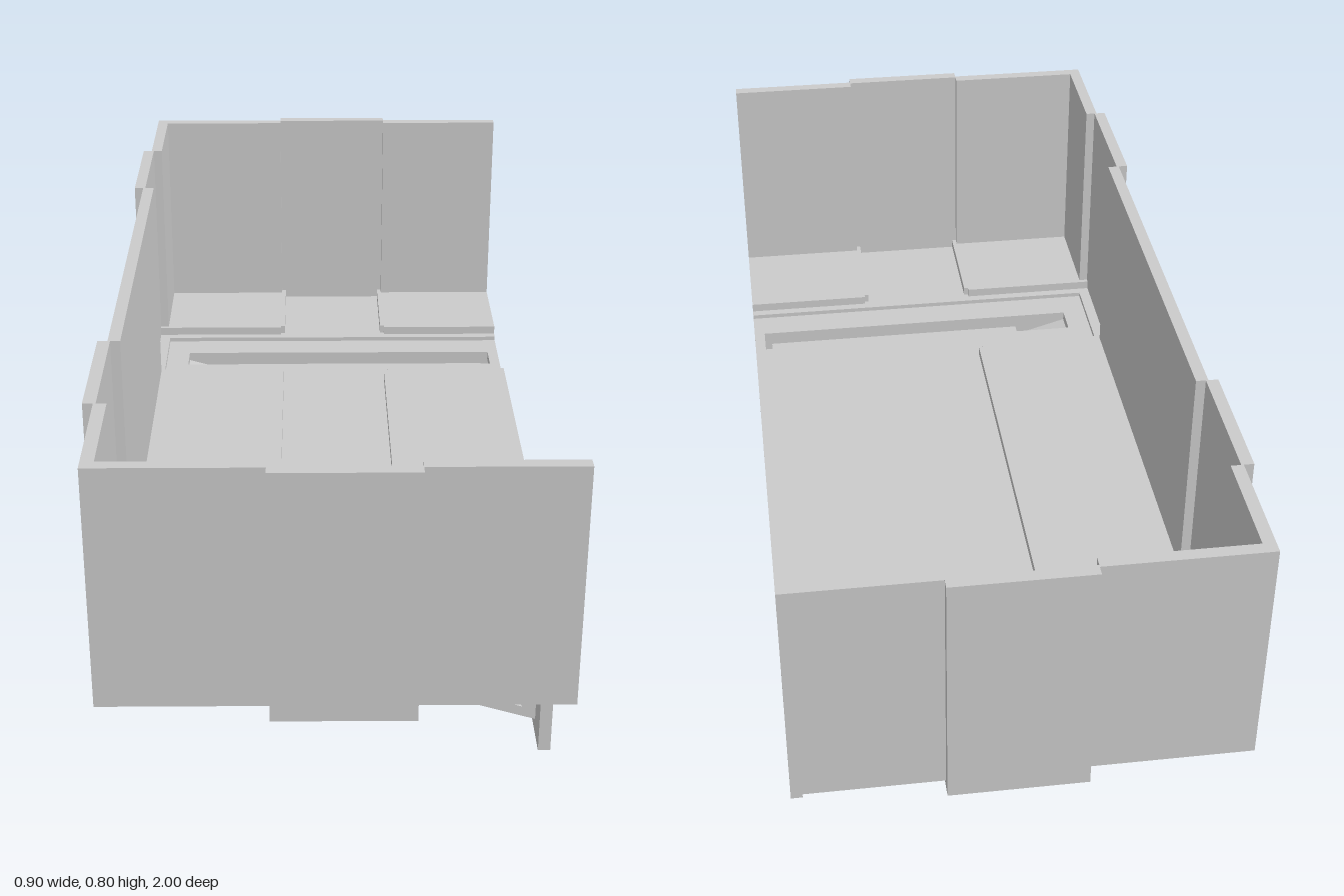
import * as THREE from 'three';

const material = new THREE.MeshStandardMaterial({ color: 0xcccccc, flatShading: true });

// Box given by its lower and upper limits on each axis
function box(parent, name, x0, x1, y0, y1, z0, z1) {
  const mesh = new THREE.Mesh(new THREE.BoxGeometry(x1 - x0, y1 - y0, z1 - z0), material);
  mesh.position.set((x0 + x1) / 2, (y0 + y1) / 2, (z0 + z1) / 2);
  mesh.name = name;
  parent.add(mesh);
}

const BASE = 0.31, RIB = 0.29, TOP = 0.8, SHEET = 0.01, WALL = 0.025, STEP = 0.02;
const X = [-0.43, -0.11, 0.16, 0.45];
const Z = [-0.98, -0.727, -0.448, 0.448, 0.727, 0.98];
const CENTRE = 0.587, HALF = 0.11, SLOT = 0.036;

// Triangular openings between the zigzag struts of a truss
function trussHoles() {
  const xs = [0.415, 0.41, 0.317, 0.235, 0.148, 0.085, 0.016, -0.03, -0.085, -0.12, -0.163, -0.187, -0.225];
  const chord = (x) => 0.25 - (x + 0.225) * 0.304;
  const nodes = xs.map((x, i) => new THREE.Vector2(x, i % 2 ? chord(x) : 0.25));
  const holes = [];
  for (let i = 0; i + 2 < nodes.length; i++) {
    const tri = nodes.slice(i, i + 3);
    const mid = tri[0].clone().add(tri[2]).multiplyScalar(0.5);
    const k = 1 - 0.026 / Math.abs(tri[0].x - tri[2].x);
    holes.push(new THREE.Path(tri.map((p) => p.clone().sub(mid).multiplyScalar(k).add(mid))));
  }
  return holes;
}

function trussLayer(parent, name, outline, z0, z1) {
  const shape = new THREE.Shape(outline.map(([x, y]) => new THREE.Vector2(x, y)));
  shape.holes = trussHoles();
  const geometry = new THREE.ExtrudeGeometry(shape, { depth: z1 - z0, bevelEnabled: false });
  const mesh = new THREE.Mesh(geometry, material);
  mesh.position.z = z0;
  mesh.name = name;
  parent.add(mesh);
}

// Slotted plate and leg with a hollow-topped truss beneath
function makeBracket() {
  const g = new THREE.Group();
  g.name = 'bracket';
  for (const [a, b] of [[-HALF, -SLOT], [SLOT, HALF]]) {
    box(g, 'bracketPlateSide', -0.345, 0.425, 0.27, RIB, a, b);
    box(g, 'legSide', 0.425, 0.45, 0.03, 0.27, a, b);
  }
  box(g, 'bracketPlateTip', -0.4, -0.345, 0.27, RIB, -HALF, HALF);
  box(g, 'legTop', 0.425, 0.45, 0.27, RIB, -HALF, HALF);
  box(g, 'legFoot', 0.425, 0.45, 0, 0.03, -HALF, HALF);

  const side = [[-0.37, 0.27], [0.425, 0.03], [0.425, 0.27]];
  trussLayer(g, 'trussSide', side, -SLOT - 0.008, -SLOT);
  trussLayer(g, 'trussSide', side, SLOT, SLOT + 0.008);
  const core = [[-0.345, 0.27], [-0.345, 0.2624], [0.408, 0.035], [0.408, 0.258], [-0.22, 0.258], [-0.22, 0.234]];
  trussLayer(g, 'trussCore', core, -SLOT, SLOT);
  return g;
}

export function createModel() {
  const model = new THREE.Group();
  model.name = 'tray';

  // Floor panels, with the odd bands sunk as ribs
  for (let j = 0; j < 5; j++) {
    const z0 = Z[j], z1 = Z[j + 1];
    if (j % 2) {
      // Sunk band, open above the bracket
      const c = (j === 1 ? -1 : 1) * CENTRE;
      box(model, 'floorRib', X[0] - STEP, X[3], RIB, RIB + SHEET, z0, c - HALF);
      box(model, 'floorRib', X[0] - STEP, X[3], RIB, RIB + SHEET, c + HALF, z1);
      box(model, 'floorRibEnd', X[0] - STEP, -0.4, RIB, RIB + SHEET, c - HALF, c + HALF);
      continue;
    }
    const a = j === 0 ? z0 - STEP : z0, b = j === 4 ? z1 + STEP : z1;
    box(model, 'floorCrossRib', X[1], X[2], RIB, RIB + SHEET, a, b);
    for (const i of [0, 2]) {
      const x0 = X[i], x1 = X[i + 1];
      box(model, 'floorPanel', x0, x1, BASE, BASE + SHEET, z0, z1);
      // Risers joining the two levels
      const xr = i === 0 ? x1 : x0 - SHEET;
      box(model, 'floorRiser', xr, xr + SHEET, RIB, BASE + SHEET, z0, z1);
      if (j > 0) box(model, 'floorRiser', x0, x1, RIB, BASE + SHEET, z0 - SHEET, z0);
      if (j < 4) box(model, 'floorRiser', x0, x1, RIB, BASE + SHEET, z1, z1 + SHEET);
    }
  }

  // Long wall, ribs pushed outwards
  for (let j = 0; j < 5; j++) {
    const out = j % 2 ? STEP : 0;
    box(model, out ? 'longWallRib' : 'longWallPanel', X[0] - out, X[0] - out + WALL,
      out ? RIB : BASE, TOP, Z[j], Z[j + 1]);
  }

  // End walls
  for (const s of [-1, 1]) {
    for (let i = 0; i < 3; i++) {
      const out = i === 1 ? STEP : 0;
      const outer = s * (Z[5] + out), inner = s * (Z[5] + out - WALL);
      box(model, out ? 'endWallRib' : 'endWallPanel', X[i], X[i + 1], out ? RIB : BASE, TOP,
        Math.min(outer, inner), Math.max(outer, inner));
    }
    const bracket = makeBracket();
    bracket.position.z = s * CENTRE;
    model.add(bracket);
  }
  return model;
}
